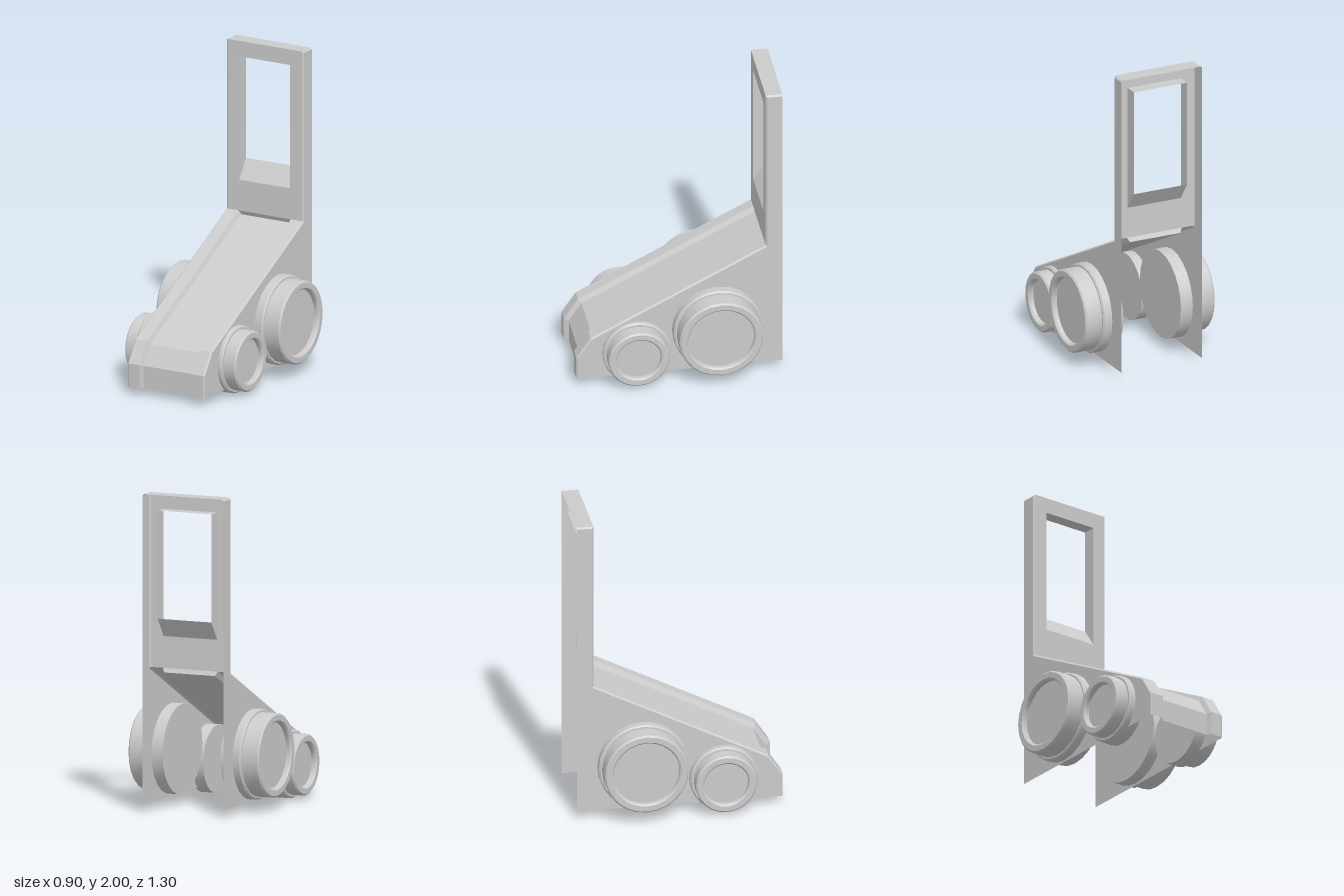
import * as THREE from 'three';
import { toCreasedNormals } from 'three/addons/utils/BufferGeometryUtils.js';

const flat = new THREE.MeshStandardMaterial({ color: 0xcccccc, flatShading: true, side: THREE.DoubleSide });
const smooth = new THREE.MeshStandardMaterial({ color: 0xcccccc, side: THREE.DoubleSide });

// Body outline seen from the side, as [z, y]: nose, slope, upright, top
const outline = [[0.65, 0.05], [0.65, 0.2], [0.56, 0.335], [-0.545, 0.9], [-0.545, 2], [-0.65, 2]];
const slope = outline.slice(0, 4);

// Moves an outline inward by d, with mitred corners
function inset(path, d) {
  const normals = path.slice(1).map(([z, y], i) => {
    const dz = z - path[i][0], dy = y - path[i][1], l = Math.hypot(dz, dy);
    return [dy / l, -dz / l];
  });
  return path.map(([z, y], i) => {
    const a = normals[Math.max(i - 1, 0)], b = normals[Math.min(i, normals.length - 1)];
    const k = d / (1 + a[0] * b[0] + a[1] * b[1]);
    return [z - (a[0] + b[0]) * k, y - (a[1] + b[1]) * k];
  });
}

const at = (x, path) => path.map(([z, y]) => [x, y, z]);

// Surface between two rows of points
function strip(name, a, b) {
  const pos = [];
  for (let i = 0; i < a.length - 1; i++) {
    pos.push(...a[i], ...b[i], ...b[i + 1], ...a[i], ...b[i + 1], ...a[i + 1]);
  }
  const g = new THREE.BufferGeometry();
  g.setAttribute('position', new THREE.Float32BufferAttribute(pos, 3));
  g.computeVertexNormals();
  const m = new THREE.Mesh(g, flat);
  m.name = name;
  return m;
}

// Stepped wheel with a shallow dished face, pointing to side s
function wheel(name, s, { shift, y, z, collarR, tyreR, dishR, inner, collar, outer }) {
  const c = 0.01;
  const profile = [
    [0, inner], [collarR, inner], [collarR, collar - c], [collarR - c, collar],
    [tyreR, collar], [tyreR, outer - c], [tyreR - c, outer],
    [dishR + c, outer], [dishR, outer - c], [dishR, outer - 0.035], [0, outer - 0.035],
  ].map(([r, h]) => new THREE.Vector2(r, h));
  const g = toCreasedNormals(new THREE.LatheGeometry(profile, 24), 0.5);
  const m = new THREE.Mesh(g, smooth);
  m.rotation.z = -s * Math.PI / 2;
  m.position.set(shift, y, z);
  m.name = name;
  return m;
}

export function createModel() {
  const model = new THREE.Group();
  model.name = 'model';
  const body = new THREE.Group();
  body.name = 'body';
  body.position.x = -0.005;
  model.add(body);

  const edge = inset(outline, 0.01);
  const floor = inset(slope, 0.03);

  for (const s of [1, -1]) {
    const side = s > 0 ? 'left' : 'right';
    // Flat side panel
    const shape = new THREE.Shape([...edge, [-0.65, 0.05]].map(([z, y]) => new THREE.Vector2(-z, y)));
    const panel = new THREE.Mesh(new THREE.ShapeGeometry(shape), flat);
    panel.rotation.y = Math.PI / 2;
    panel.position.x = s * 0.28;
    panel.name = side + 'SidePanel';
    body.add(panel);
    // Chamfered edge, raised rail and the step down into the channel
    body.add(strip(side + 'Chamfer', at(s * 0.28, edge), at(s * 0.27, outline)));
    body.add(strip(side + 'Rail', at(s * 0.27, slope), at(s * 0.19, slope)));
    body.add(strip(side + 'ChannelWall', at(s * 0.19, slope), at(s * 0.175, floor)));
  }

  // Recessed channel with its upper end, and the top cap
  body.add(strip('channelFloor', at(-0.175, floor), at(0.175, floor)));
  const end = [floor[3], slope[3]];
  body.add(strip('channelEnd', [at(-0.175, end)[0], at(-0.19, end)[1]], [at(0.175, end)[0], at(0.19, end)[1]]));
  body.add(strip('topCap', at(-0.27, outline.slice(4)), at(0.27, outline.slice(4))));

  // Upright front plate with its window
  const rect = (w, y0, y1) => [[-w, y0], [w, y0], [w, y1], [-w, y1]].map(([x, y]) => new THREE.Vector2(x, y));
  const plateShape = new THREE.Shape(rect(0.27, 0.9, 2));
  plateShape.holes.push(new THREE.Path(rect(0.185, 1.1, 1.9)));
  const plate = new THREE.Mesh(new THREE.ShapeGeometry(plateShape), flat);
  plate.position.z = -0.545;
  plate.name = 'uprightPlate';
  body.add(plate);

  // Window reveal with sloping sill
  const loop = (z, sill) => {
    const p = rect(0.185, sill, 1.9).map(v => [v.x, v.y, z]);
    return [...p, p[0]];
  };
  body.add(strip('windowReveal', loop(-0.545, 1.1), loop(-0.63, 1.22)));

  // Wheels
  const rear = { shift: -0.002, y: 0.348, z: -0.237, collarR: 0.285, tyreR: 0.265, dishR: 0.21, inner: 0.2, collar: 0.337, outer: 0.45 };
  const front = { shift: -0.012, y: 0.218, z: 0.273, collarR: 0.215, tyreR: 0.193, dishR: 0.14, inner: 0.21, collar: 0.315, outer: 0.402 };
  for (const s of [1, -1]) {
    const side = s > 0 ? 'Left' : 'Right';
    model.add(wheel('rear' + side + 'Wheel', s, rear));
    model.add(wheel('front' + side + 'Wheel', s, front));
  }
  return model;
}
